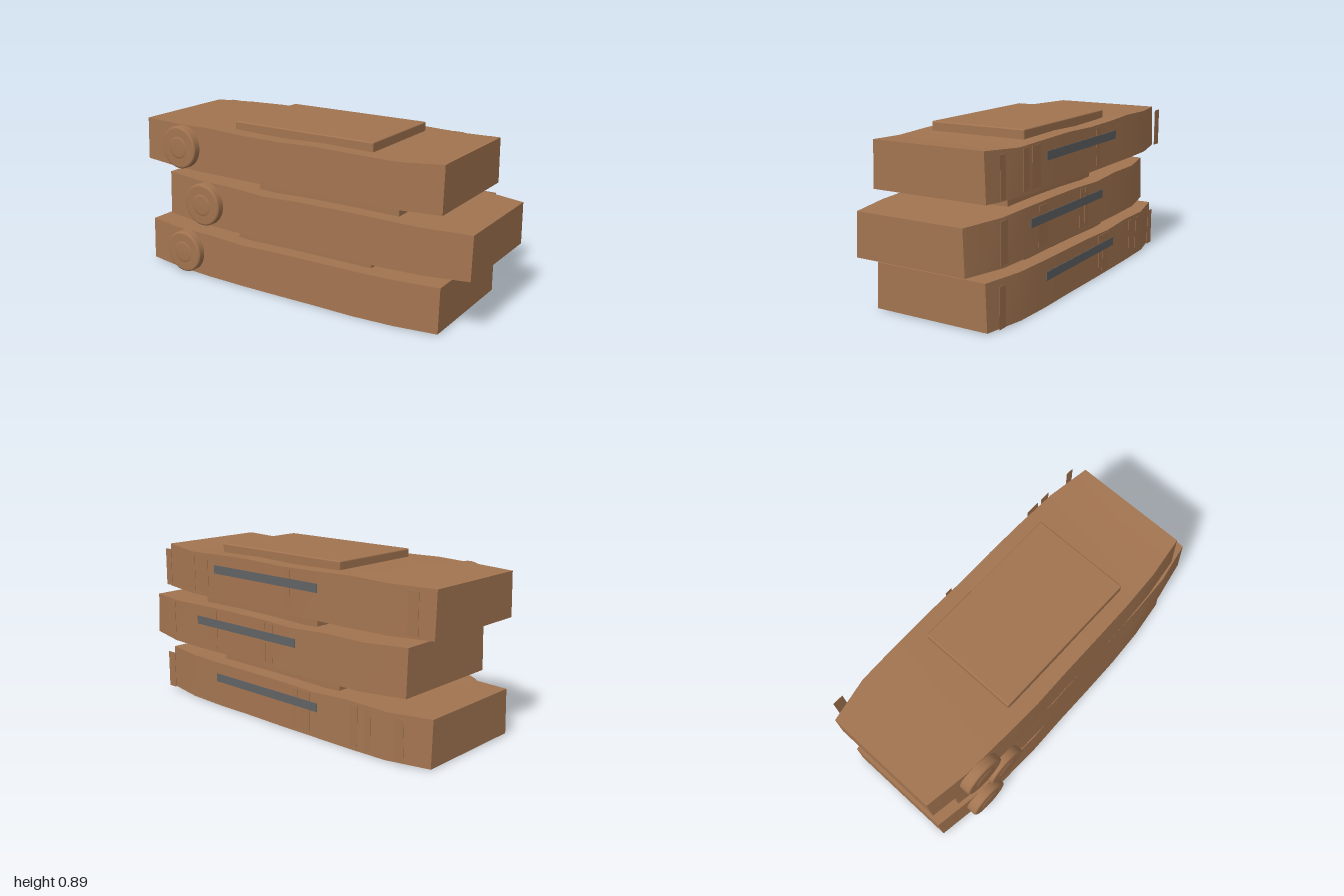
import * as THREE from 'three';
import { RoundedBoxGeometry } from 'three/addons/geometries/RoundedBoxGeometry.js';

// Grid of points (rows x columns) as one smooth surface
function addSheet(rows, pos, idx) {
  const base = pos.length / 3, n = rows[0].length;
  rows.forEach(r => r.forEach(p => pos.push(...p)));
  for (let i = 0; i < rows.length - 1; i++) {
    for (let j = 0; j < n - 1; j++) {
      const a = base + i * n + j, b = a + 1, c = a + n, d = c + 1;
      idx.push(a, c, b, b, c, d);
    }
  }
}

// Half-depths along the length, at the foot of the slab
const FRONT = [0.305, 0.34, 0.352, 0.36, 0.355, 0.355, 0.352, 0.34, 0.31];
const BACK = [-0.33, -0.377, -0.381, -0.385, -0.382, -0.382, -0.381, -0.375, -0.335];
const LENGTH = 1.85, SEGMENTS = 8;

// Long block with tapered ends, inward-leaning sides and a wavy top
function slabGeometry(tops, endInset) {
  const pos = [], idx = [];
  const sections = tops.map((top, i) => {
    const x = -LENGTH / 2 + (LENGTH * i) / SEGMENTS;
    const low = i === 0 || i === SEGMENTS ? 0.006 : 0.002 * (i % 2);
    const inset = i === SEGMENTS ? endInset : 0;
    const front = FRONT[i] - inset, back = BACK[i] + inset;
    return [
      [x, low, front], [x, top, front - 0.011],
      [x, top, back + 0.009], [x, low, back],
    ];
  });
  for (let k = 0; k < 4; k++) {
    const a = sections.map(s => s[k]);
    const b = sections.map(s => s[(k + 1) % 4]);
    addSheet([b, a], pos, idx);
  }
  // Flat end faces
  const first = sections[0], last = sections[SEGMENTS];
  addSheet([[first[2], first[1]], [first[3], first[0]]], pos, idx);
  addSheet([[last[1], last[2]], [last[0], last[3]]], pos, idx);
  const g = new THREE.BufferGeometry();
  g.setAttribute('position', new THREE.Float32BufferAttribute(pos, 3));
  g.setIndex(idx);
  g.computeVertexNormals();
  return g;
}

// Round boss with a softened rim and a low raised centre
function bossGeometry() {
  const profile = [
    [0.117, 0.32], [0.117, 0.374], [0.115, 0.38], [0.11, 0.384], [0.104, 0.385],
    [0.064, 0.385], [0.06, 0.385], [0.054, 0.388], [0.046, 0.389], [0, 0.39],
  ].map(([r, z]) => new THREE.Vector2(r, z));
  return new THREE.LatheGeometry(profile, 40).rotateX(Math.PI / 2);
}

export function createModel() {
  const model = new THREE.Group();
  model.name = 'stackedBlocks';

  const brown = new THREE.MeshStandardMaterial({ color: 0xa27450 });
  brown.name = 'brown';
  const grey = new THREE.MeshStandardMaterial({ color: 0x606264 });
  grey.name = 'darkGrey';

  const add = (parent, name, geometry, material, x, y, z) => {
    const mesh = new THREE.Mesh(geometry, material);
    mesh.name = name;
    mesh.position.set(x, y, z);
    parent.add(mesh);
  };

  // Each tier: sideways shift, wavy top heights, back bars as [x centre, width]
  const tiers = [
    {
      name: 'lowerTier', x: -0.075, y: 0, endInset: 0,
      tops: [0.243, 0.237, 0.243, 0.233, 0.238, 0.24, 0.24, 0.241, 0.243],
      bars: [[0.8, 0.055], [-0.19, 0.04], [-0.255, 0.075], [-0.583, 0.047], [-0.67, 0.035], [-0.857, 0.055]],
    },
    {
      name: 'middleTier', x: 0.075, y: 0.302, endInset: 0.015,
      tops: [0.247, 0.241, 0.244, 0.233, 0.241, 0.243, 0.241, 0.236, 0.232],
      bars: [[0.785, 0.065], [0.455, 0.04], [0.415, 0.04], [0.037, 0.035], [-0.017, 0.035]],
    },
    {
      name: 'upperTier', x: -0.075, y: 0.602, endInset: 0,
      tops: [0.238, 0.241, 0.247, 0.24, 0.236, 0.243, 0.239, 0.233, 0.247],
      bars: [[0.793, 0.045], [0.593, 0.055], [0.497, 0.08], [-0.143, 0.04], [-0.92, 0.06]],
    },
  ];

  const capGeometry = new RoundedBoxGeometry(0.845, 0.1, 0.545, 3, 0.007);
  const boss = bossGeometry();
  const strip = new THREE.BoxGeometry(0.75, 0.045, 0.003);

  for (const tier of tiers) {
    const group = new THREE.Group();
    group.name = tier.name;
    group.position.set(tier.x, tier.y, 0);
    model.add(group);

    add(group, 'slab', slabGeometry(tier.tops, tier.endInset), brown, 0, 0, 0);
    add(group, 'topPlate', capGeometry, brown, 0.0975, 0.236, -0.0125);
    add(group, 'frontBoss', boss, brown, -0.628, 0.124, 0);

    // Grey strip across the back
    add(group, 'backStrip', strip, grey, 0.103, 0.162, -0.389);

    // Thin upright bars on the back
    for (const [x, width] of tier.bars) {
      add(group, 'backBar', new THREE.BoxGeometry(width, 0.205, 0.002), brown, x - tier.x, 0.128, -0.387);
    }
  }
  return model;
}
